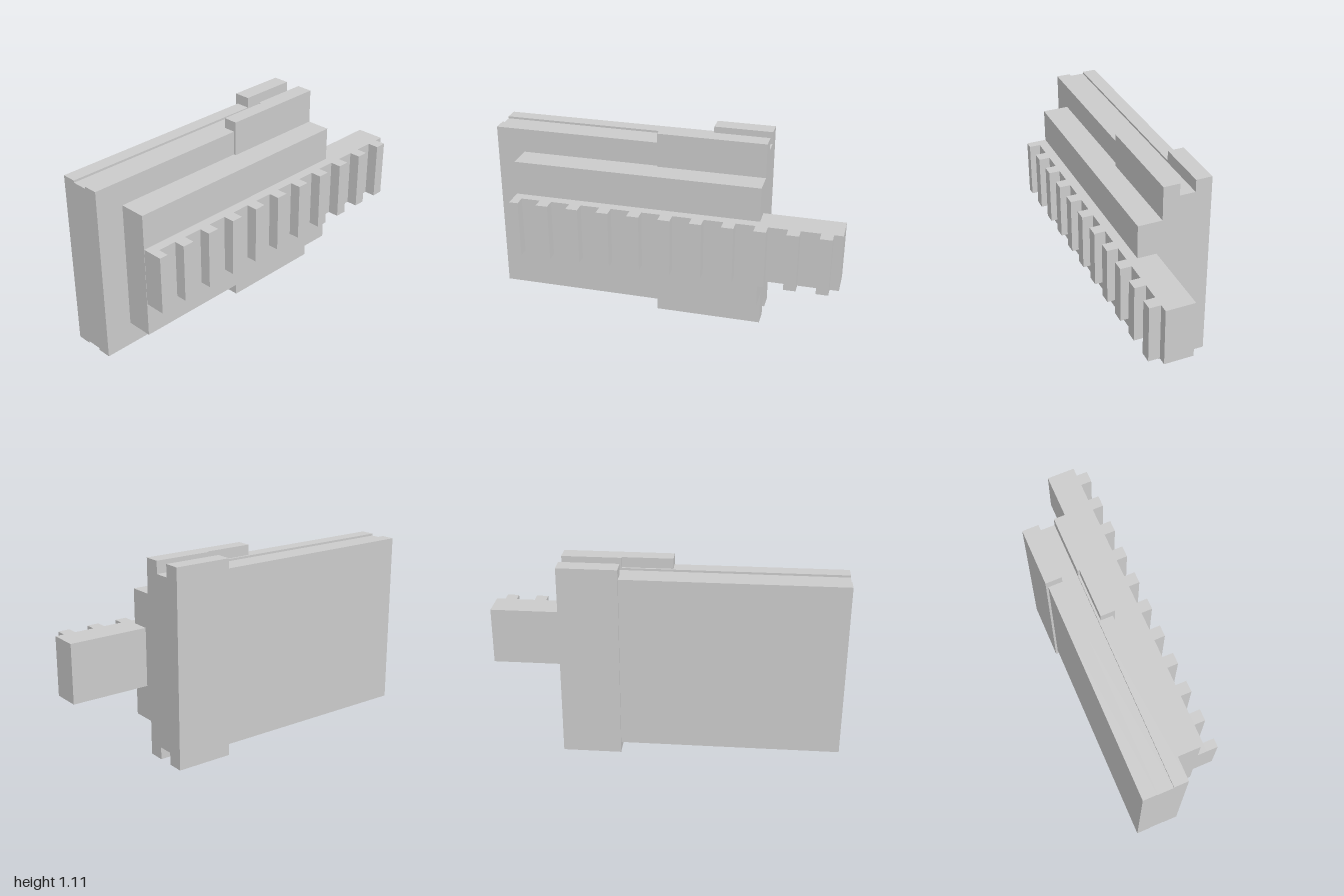
import * as THREE from 'three';

const material = new THREE.MeshStandardMaterial({ color: 0xcccccc, flatShading: true });
const MID = 0.555; // mid height, every section is mirrored about it

// Extrude an x/y outline along z
function prism(name, points, z0, z1) {
  const shape = new THREE.Shape(points.map(([x, y]) => new THREE.Vector2(x, y)));
  const geo = new THREE.ExtrudeGeometry(shape, { depth: z1 - z0, bevelEnabled: false });
  geo.translate(0, 0, z0);
  const mesh = new THREE.Mesh(geo, material);
  mesh.name = name;
  return mesh;
}

// Complete an upper outline (right to left) with its mirror below
function mirrored(upper) {
  const lower = upper.map(([x, y]) => [x, 2 * MID - y]).reverse();
  return [...upper, ...lower];
}

function box(name, x0, x1, y0, y1, z0, z1) {
  const mesh = new THREE.Mesh(new THREE.BoxGeometry(x1 - x0, y1 - y0, z1 - z0), material);
  mesh.position.set((x0 + x1) / 2, (y0 + y1) / 2, (z0 + z1) / 2);
  mesh.name = name;
  return mesh;
}

export function createModel() {
  const model = new THREE.Group();
  model.name = 'rackSlide';

  // Slide block with a shallow groove along its top and bottom edges
  const groove = [[-0.085, 1.04], [-0.173, 1.04]];
  model.add(prism('frontBlock', mirrored([
    [-0.005, 1.052], [-0.085, 1.052], ...groove, [-0.173, 1.052], [-0.252, 1.052],
  ]), 0.057, 1));

  // Middle section: raised lip on the rack side only
  model.add(prism('middleBlock', mirrored([
    [0.008, 1.11], [-0.073, 1.11], [-0.073, 1.052], [-0.085, 1.052],
    ...groove, [-0.173, 1.052], [-0.252, 1.052],
  ]), -0.222, 0.057));

  // Rear section: raised lips on both sides of the groove
  model.add(prism('rearBlock', mirrored([
    [0.008, 1.11], [-0.085, 1.11], ...groove, [-0.173, 1.11], [-0.265, 1.11],
  ]), -0.55, -0.222));

  // Stepped plate carrying the rack
  model.add(box('carrierPlate', -0.005, 0.145, 0.195, 0.915, -0.55, 0.842));

  // Rack bar, thicker where it overhangs the back
  model.add(box('rackBar', 0.145, 0.2, 0.39, 0.72, -0.55, 0.84));
  model.add(box('rackOverhang', 0.038, 0.2, 0.39, 0.72, -1, -0.55));

  // Square teeth, the last one cut short by the bar's end
  const teeth = new THREE.Group();
  teeth.name = 'rackTeeth';
  for (let i = 0; i < 11; i++) {
    const z = -0.95 + i * 0.174;
    teeth.add(box('tooth', 0.2, 0.263, 0.39, 0.72, z, Math.min(z + 0.067, 0.84)));
  }
  model.add(teeth);

  return model;
}
